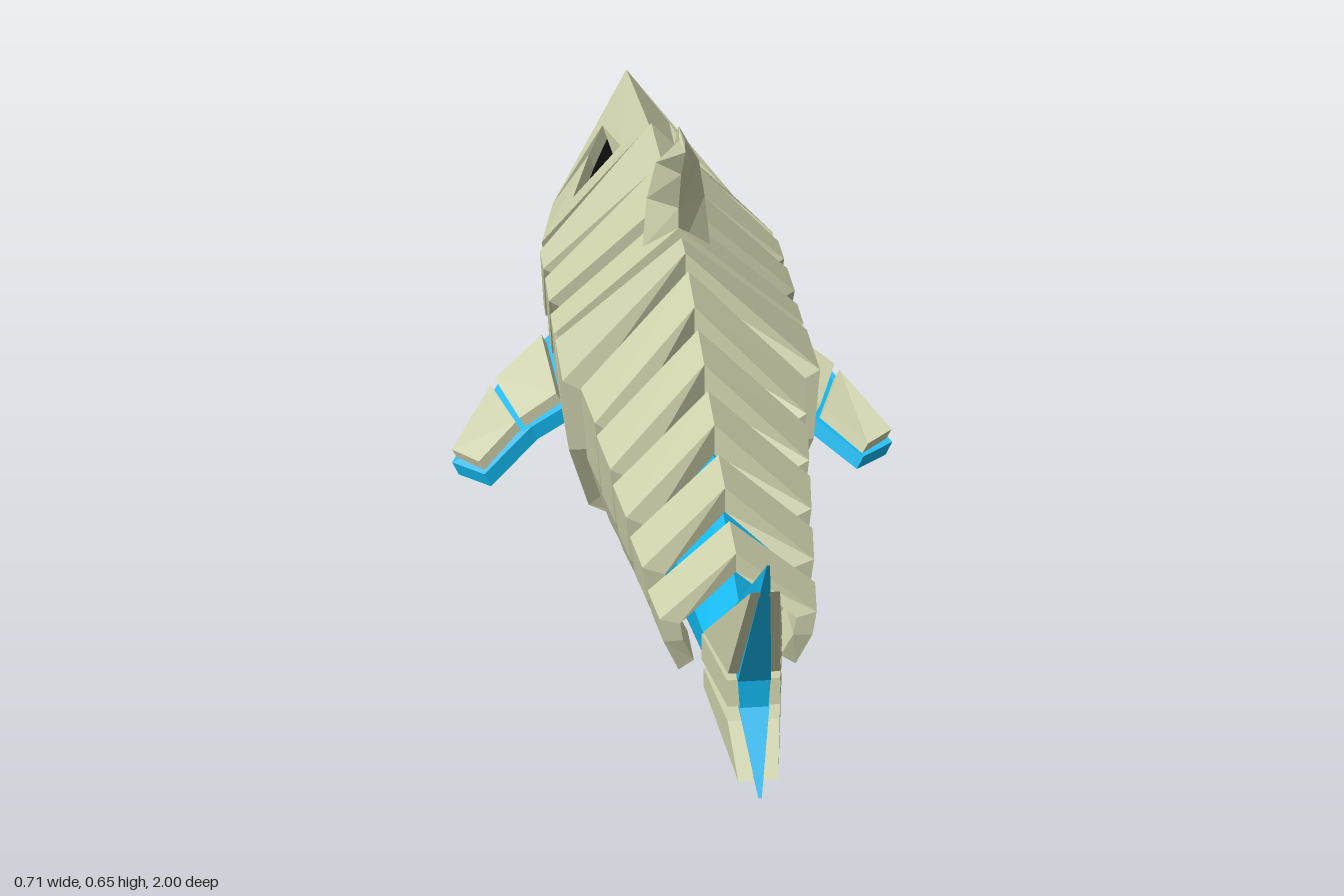
import * as THREE from 'three';

const mat = (color) => new THREE.MeshStandardMaterial({ color, flatShading: true, side: THREE.DoubleSide });
const BONE = mat(0xcdd1ab), BLUE = mat(0x12b8ee), BLACK = mat(0x0c0c0c);
const lerp = THREE.MathUtils.lerp;
const mix = (a, b, t) => a.map((v, i) => lerp(v, b[i], t));
const add = (a, b) => a.map((v, i) => v + b[i]);
const flip = ([x, y, z]) => [-x, y, z];

// Mesh from flat polygons, each a loop of [x, y, z] corners
function polys(name, material, faces) {
  const pos = [];
  for (const f of faces)
    for (let i = 1; i < f.length - 1; i++) pos.push(...f[0], ...f[i], ...f[i + 1]);
  const g = new THREE.BufferGeometry();
  g.setAttribute('position', new THREE.Float32BufferAttribute(pos, 3));
  g.computeVertexNormals();
  const m = new THREE.Mesh(g, material);
  m.name = name;
  return m;
}

// Skin over a row of closed sections with capped ends
function loft(name, material, secs) {
  const n = secs[0].length, faces = [[...secs[0]].reverse(), secs[secs.length - 1]];
  for (let s = 0; s < secs.length - 1; s++)
    for (let i = 0; i < n; i++) {
      const j = (i + 1) % n;
      faces.push([secs[s][i], secs[s][j], secs[s + 1][j], secs[s + 1][i]]);
    }
  return polys(name, material, faces);
}

// Full outline from the half that runs apex -> bottom
const mirrorPath = (half) => [...half.slice(1).reverse().map(([x, ...r]) => [-x, ...r]), ...half];

// Armour band: half profile of [x, y, zRear, zFore], flared towards the head
function band(name, half, flare = 1, inner = 0.82) {
  const c = 0.21;
  const at = (x, y, z, k) => [x * k, c + (y - c) * k, z];
  return loft(name, BONE, mirrorPath(half).map(([x, y, zr, zf]) => [
    at(x, y, zr, 1), at(x, y, zf, flare), at(x, y, zf, inner), at(x, y, zr, inner)]));
}

// Flat plate with a [z, y] outline whose half width follows a rule
const plate = (name, material, outline, half, inner = null) => loft(name, material, [
  outline.map(([z, y]) => [inner === null ? -half(z, y) : inner, y, z]),
  outline.map(([z, y]) => [half(z, y), y, z])]);

function buildTorso(root) {
  // z, top, half width, shoulder height, keel
  const core = [[0.75, 0.25, 0.05, 0.235, 0.15], [0.4, 0.33, 0.085, 0.26, 0.095], [0.05, 0.42, 0.15, 0.3, 0.035],
    [-0.17, 0.45, 0.17, 0.31, 0.03], [-0.42, 0.44, 0.165, 0.3, 0.045], [-0.6, 0.37, 0.12, 0.26, 0.075]];
  root.add(loft('bodyCore', BLUE, core.map(([z, top, w, mid, bot]) => mirrorPath([
    [0, top, z], [w, mid, z], [w * 0.97, lerp(bot, mid, 0.6), z], [w * 0.75, lerp(bot, mid, 0.27), z], [0, bot, z]]).slice(1))));

  // Rear ribs, open below
  for (let i = 0; i < 5; i++) {
    const t = i / 4, w = lerp(0.157, 0.108, t);
    root.add(band('rearRib', [
      [0, lerp(0.455, 0.32, t), lerp(0.13, 0.66, t), lerp(0.04, 0.58, t)],
      [w, lerp(0.315, 0.24, t), lerp(0.22, 0.69, t), lerp(0.115, 0.61, t)],
      [w * 0.95, 0.205, lerp(0.21, 0.69, t), lerp(0.11, 0.605, t)],
      [w * 0.75, lerp(0.1, 0.155, t), lerp(0.19, 0.68, t), lerp(0.1, 0.6, t)]], 1.08, 0.74));
  }
  // Two closed rings at the middle
  root.add(band('middleRing', [[0, 0.487, 0, -0.06], [0.195, 0.325, 0.09, -0.06], [0.187, 0.21, 0.09, -0.06],
    [0.155, 0.095, 0.05, -0.05], [0, 0.003, 0.02, -0.045]]));
  root.add(band('shoulderRing', [[0, 0.487, -0.1, -0.185], [0.195, 0.32, -0.095, -0.17], [0.187, 0.21, -0.065, -0.19],
    [0.155, 0.095, -0.09, -0.17], [0, 0.003, -0.1, -0.155]]));
  // Neck plates
  root.add(band('neckPlate', [[0, 0.503, -0.2, -0.345], [0.195, 0.33, -0.2, -0.29], [0.188, 0.215, -0.255, -0.32]]));
  root.add(band('neckPlate', [[0, 0.493, -0.36, -0.54], [0.195, 0.33, -0.33, -0.405], [0.19, 0.23, -0.37, -0.42]]));
}

function buildHead(root) {
  const head = new THREE.Group();
  head.name = 'head';
  const N = [0, 0.42, -1], N2 = [0, 0.265, -0.965], B = [0, 0.477, -0.57];
  const S1 = [0.155, 0.3, -0.68], S2 = [0.19, 0.335, -0.43], J1 = [0.15, 0.215, -0.68], J2 = [0.185, 0.21, -0.42];
  const rim = [[0.058, 0.385, -0.82], [0.085, 0.35, -0.775], [0.13, 0.362, -0.55], [0.045, 0.428, -0.61]];
  const floor = rim.map((p) => add(p, [-0.008, -0.025, 0]));
  floor[3] = add(floor[3], [0.012, -0.018, -0.01]);
  const outer = [N, S1, S2, B];
  const skull = [[N, N2, J1, S1], [S1, J1, J2, S2]];
  for (let i = 0; i < 4; i++) {
    const j = (i + 1) % 4;
    skull.push([outer[i], outer[j], rim[j], rim[i]], [rim[i], rim[j], floor[j], floor[i]]);
  }
  head.add(polys('skull', BONE, [...skull, ...skull.map((f) => f.map(flip).reverse()), [B, S2, J2, flip(J2), flip(S2)]]));
  head.add(polys('eyes', BLACK, [floor, floor.map(flip).reverse()]));
  head.add(polys('mouthRoof', BLUE, [[N2, J1, J2, flip(J2), flip(J1)]]));

  // Lower jaw: z of the top edge, half width, top, lower side, z and y of the keel
  const jaw = [[-0.89, 0.022, 0.165, 0.13, -0.89, 0.1], [-0.68, 0.135, 0.19, 0.12, -0.64, 0.062], [-0.42, 0.18, 0.212, 0.15, -0.55, 0.07]];
  head.add(loft('lowerJaw', BONE, jaw.map(([z, w, top, low, kz, ky]) => mirrorPath([
    [0, top, z], [w, top, z], [w * 0.88, low, lerp(z, kz, 0.5)], [0, ky, kz]]).slice(1))));
  head.add(polys('tongue', BLUE, [[[0.012, 0.175, -0.86], [0.12, 0.2, -0.68], [0.14, 0.222, -0.45],
    [-0.14, 0.222, -0.45], [-0.12, 0.2, -0.68], [-0.012, 0.175, -0.86]]]));

  // Teeth in rows along both jaw edges
  const tooth = new THREE.ConeGeometry(0.014, 0.036, 4);
  const row = (name, a, b, count, down) => {
    for (let i = 0; i < count; i++)
      for (const s of [1, -1]) {
        const p = mix(a, b, (i + 0.5) / count), m = new THREE.Mesh(tooth, BONE);
        m.position.set(s * p[0], p[1] + (down ? -0.013 : 0.013), p[2]);
        if (down) m.rotation.x = Math.PI;
        m.name = name;
        head.add(m);
      }
  };
  row('upperTooth', add(N2, [0.006, 0, 0.01]), add(J1, [-0.008, 0, 0]), 11, true);
  row('lowerTooth', [0.018, 0.166, -0.88], [0.128, 0.19, -0.68], 8, false);
  root.add(head);
}

function buildFins(root) {
  // Dorsal fin: y, rear z, fore z, half width; the tip sweeps back
  const dorsal = [[0.44, -0.1, -0.175, 0.053], [0.52, -0.1, -0.19, 0.045], [0.59, -0.062, -0.172, 0.033], [0.65, 0, -0.1, 0.004]];
  root.add(loft('dorsalFin', BONE, dorsal.map(([y, zr, zf, w], i) => {
    const z = lerp(zr, zf, 0.5);
    return [[0, y, zr], [w, y, z], [0, y + (i === 3 ? 0.005 : 0), zf], [-w, y, z]];
  })));

  // Side fins: leading and trailing edges from root to tip
  const edges = [[[0.13, 0.215, -0.43], [0.13, 0.14, -0.26]], [[0.265, 0.14, -0.335], [0.225, 0.1, -0.225]], [[0.355, 0.063, -0.185], [0.305, 0.05, -0.163]]];
  const at = (t) => {
    const k = Math.min(1, Math.floor(t * 2));
    return [0, 1].map((e) => mix(edges[k][e], edges[k + 1][e], t * 2 - k));
  };
  const section = (t, inset, up, down) => {
    const [l, r] = at(t), a = mix(l, r, inset), b = mix(l, r, 1 - inset);
    return [add(a, up), add(b, up), add(b, down), add(a, down)];
  };
  for (const side of [1, -1]) {
    const fin = new THREE.Group();
    fin.name = side > 0 ? 'leftFin' : 'rightFin';
    const turn = (secs) => secs.map((s) => (side > 0 ? s : s.map(flip).reverse()));
    fin.add(loft('finCore', BLUE, turn([0, 0.5, 1].map((t) => section(t, 0, [0, 0, 0], [-0.01, -0.022, 0])))));
    for (const [t0, t1] of [[0.22, 0.54], [0.58, 0.97]])
      fin.add(loft('finPlate', BONE, turn([t0, t1].map((t) => section(t, 0.08, [0.009, 0.016, 0], [-0.004, -0.008, 0])))));
    root.add(fin);
  }

  // Tail: blue lobes with bone plates on both sides
  const tail = new THREE.Group();
  tail.name = 'tailFin';
  const thin = (z, y) => Math.max(0.002, 0.024 * (1 - Math.abs(y - 0.22) / (y > 0.22 ? 0.26 : 0.13)));
  tail.add(plate('upperLobe', BLUE, [[0.7, 0.24], [1, 0.48], [0.87, 0.24], [0.74, 0.2]], thin));
  tail.add(plate('tailRoot', BLUE, [[0.7, 0.24], [0.87, 0.245], [0.87, 0.19], [0.7, 0.17]], thin));
  tail.add(plate('lowerLobe', BLUE, [[0.7, 0.2], [0.87, 0.2], [0.94, 0.102], [0.7, 0.16]], thin));
  const wide = (z) => 0.055 - 0.15 * (z - 0.73);
  const plates = [['upperTailPlate', [[0.74, 0.245], [0.972, 0.427], [0.865, 0.25]]],
    ['middleTailPlate', [[0.73, 0.237], [0.86, 0.237], [0.865, 0.2], [0.73, 0.198]]],
    ['lowerTailPlate', [[0.74, 0.162], [0.92, 0.117], [0.865, 0.178], [0.74, 0.19]]]];
  for (const [name, outline] of plates)
    for (const s of [1, -1]) tail.add(plate(name, BONE, outline, (z) => s * wide(z), s * 0.006));
  root.add(tail);
}

export function createModel() {
  const root = new THREE.Group();
  root.name = 'armouredShark';
  buildTorso(root);
  buildHead(root);
  buildFins(root);
  return root;
}
